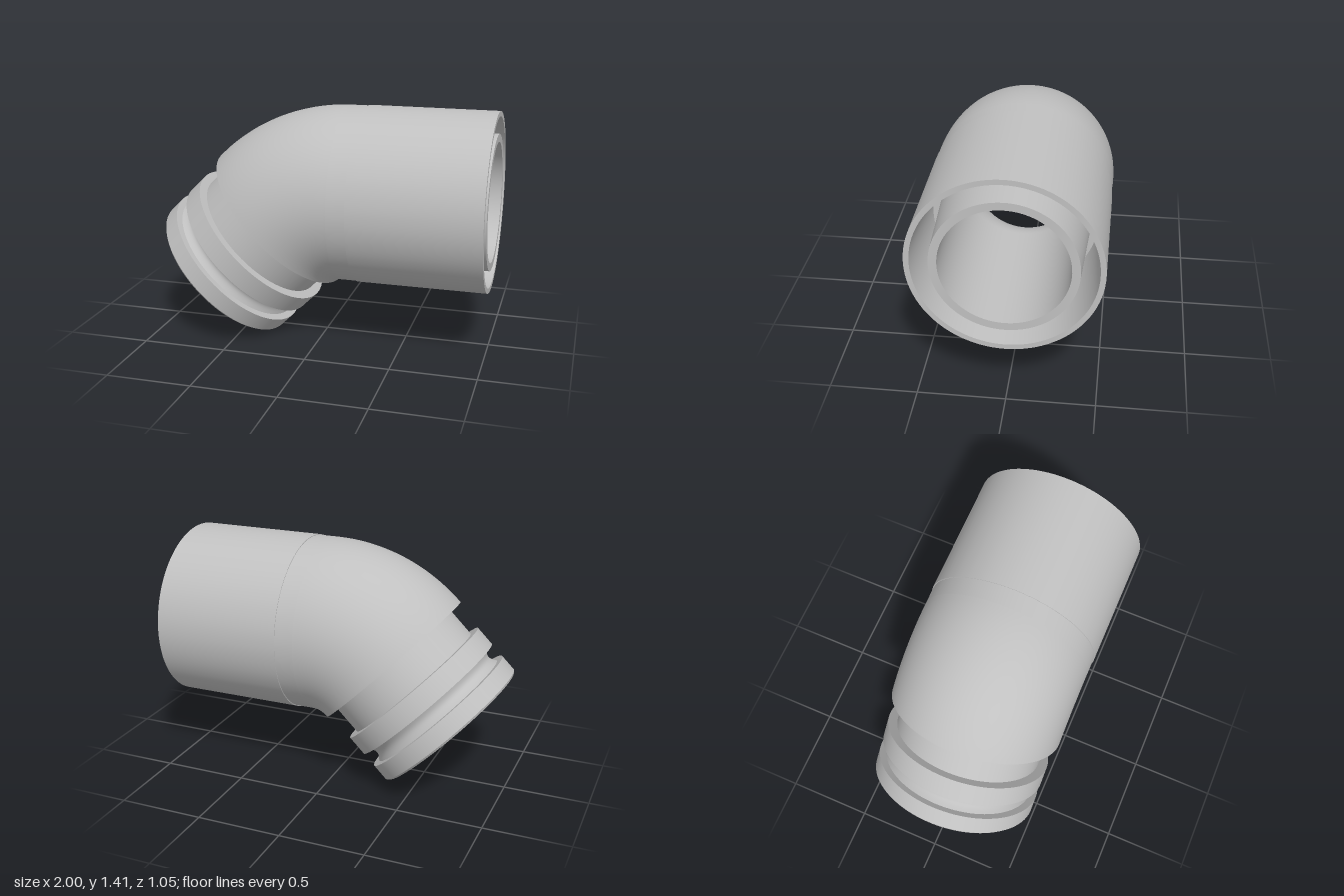
import * as THREE from 'three';
import { toCreasedNormals } from 'three/addons/utils/BufferGeometryUtils.js';

const SEGMENTS = 96;
const AXIS_Y = 0.89;          // height of the horizontal pipe axis
const BEND_X = 0.13;          // where the bend starts
const BEND_R = 0.59;          // bend centreline radius
const ANGLE = Math.PI / 4;    // 45 degree elbow
const OUTER = 0.521, BORE = 0.35;

export function createModel() {
  const group = new THREE.Group();
  const grey = new THREE.MeshStandardMaterial({ color: 0xc0c0c0 });
  grey.name = 'light grey';

  const add = (name, geometry) => {
    const mesh = new THREE.Mesh(toCreasedNormals(geometry, 0.45), grey);
    mesh.name = name;
    group.add(mesh);
    return mesh;
  };

  // Revolve a [radius, distance along axis] profile
  const revolve = (profile) =>
    new THREE.LatheGeometry(profile.map(([r, s]) => new THREE.Vector2(r, s)), SEGMENTS);

  // Socket: outer sleeve, tapered slot and inner pipe
  const socket = add('socket', revolve([
    [OUTER, BEND_X], [OUTER, 0.24], [0.525, 0.24], [0.525, 1],
    [0.495, 1], [0.46, 0.5], [0.42, 0.5], [0.395, 1],
    [BORE, 1], [BORE, BEND_X],
  ]));
  socket.rotation.z = -Math.PI / 2;
  socket.position.y = AXIS_Y;

  // Curved elbow, outside skin and inside bore
  const elbow = (name, radius, inside) => {
    const geometry = new THREE.TorusGeometry(BEND_R, radius, SEGMENTS, 32, ANGLE);
    if (inside) {
      const index = geometry.index.array;
      for (let i = 0; i < index.length; i += 3) {
        [index[i], index[i + 1]] = [index[i + 1], index[i]];
      }
    }
    const mesh = add(name, geometry);
    mesh.rotation.z = Math.PI / 2;
    mesh.position.set(BEND_X, AXIS_Y - BEND_R, 0);
  };
  elbow('elbowOutside', OUTER, false);
  elbow('elbowBore', BORE, true);

  // Rounded seal groove between the two spigot rings
  const groove = [];
  for (let i = 0; i <= 10; i++) {
    const t = i / 10;
    groove.push([0.458 - 0.023 * Math.sin(Math.PI * t), 0.307 + 0.094 * t]);
  }

  // Spigot: shoulder, neck, two rings and a wider bore
  const spigot = add('spigot', revolve([
    [OUTER, 0], [0.445, 0], [0.445, 0.182], [0.5, 0.182], [0.5, 0.307],
    ...groove,
    [0.5, 0.401], [0.5, 0.505], [0.488, 0.517],
    [0.412, 0.517], [0.4, 0.505], [0.4, 0], [BORE, 0],
  ]));
  spigot.rotation.z = Math.PI / 2 + ANGLE;
  spigot.position.set(
    BEND_X - BEND_R * Math.sin(ANGLE),
    AXIS_Y - BEND_R * (1 - Math.cos(ANGLE)),
    0
  );

  return group;
}
